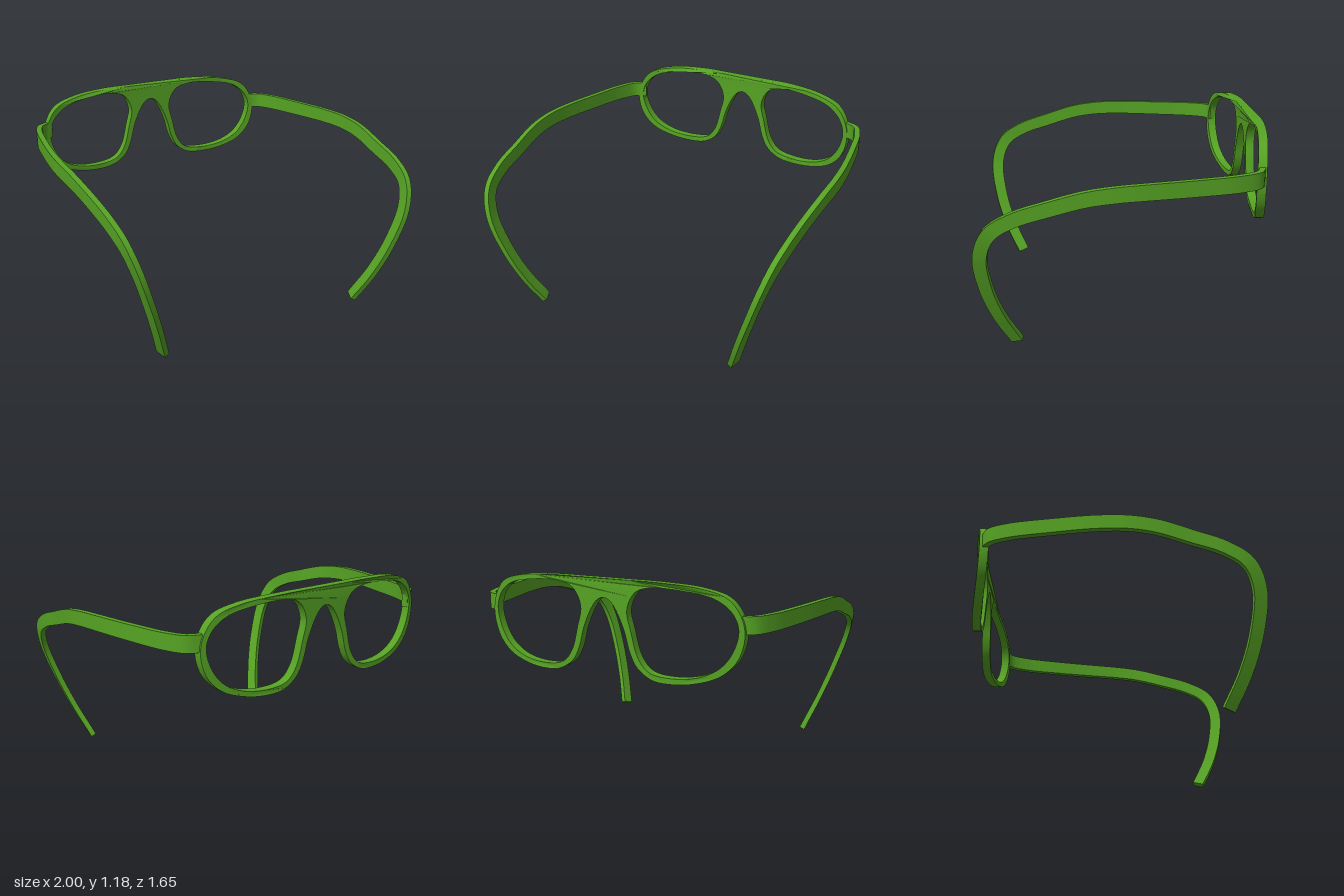
import * as THREE from 'three';
import { toCreasedNormals } from 'three/addons/utils/BufferGeometryUtils.js';

const material = new THREE.MeshStandardMaterial({ color: 0x56a324 });

// Half of the front outline, from top centre round the rim to the bridge arch
const outline = [
  [0, 1.178], [0.15, 1.178], [0.32, 1.177], [0.55, 1.158], [0.686, 1.115], [0.75, 1.04],
  [0.778, 0.933], [0.745, 0.8], [0.66, 0.71], [0.525, 0.66], [0.39, 0.645], [0.285, 0.658],
  [0.2, 0.714], [0.157, 0.794], [0.125, 0.906], [0.075, 1.015], [0.04, 1.06], [0, 1.077],
];
const lens = [
  [0.142, 1.02], [0.165, 0.905], [0.205, 0.77], [0.265, 0.7], [0.39, 0.677], [0.553, 0.698],
  [0.66, 0.757], [0.725, 0.853], [0.746, 0.96], [0.71, 1.045], [0.63, 1.105], [0.5, 1.136],
  [0.285, 1.147], [0.19, 1.115],
];
const mirror = (pts) => pts.map(([x, y]) => [-x, y]).reverse();

// Smooth closed loop through a few points
function loop(pts, count) {
  const curve = new THREE.CatmullRomCurve3(pts.map(([x, y]) => new THREE.Vector3(x, y, 0)), true);
  return curve.getSpacedPoints(count).slice(0, -1).map((p) => new THREE.Vector2(p.x, p.y));
}

// Front: flat cut-out, then wrapped backwards towards both ends
function makeFront() {
  const shape = new THREE.Shape(loop([...outline, ...mirror(outline).slice(1, -1)], 240));
  for (const pts of [lens, mirror(lens)]) shape.holes.push(new THREE.Path(loop(pts, 110)));
  const geo = new THREE.ExtrudeGeometry(shape, { depth: 0.052, bevelEnabled: false });
  const p = geo.attributes.position;
  for (let i = 0; i < p.count; i++) {
    const t = Math.max(0, Math.abs(p.getX(i)) - 0.28) / 0.5;
    p.setZ(i, p.getZ(i) - 0.822 + 0.075 * Math.pow(t, 1.5));
  }
  const mesh = new THREE.Mesh(toCreasedNormals(geo, 0.6), material);
  mesh.name = 'frontFrame';
  mesh.position.x = -0.01;
  return mesh;
}

// Centre line of a temple from hinge to ear tip
const templePath = [
  [0.745, 0.978, -0.728], [0.815, 0.978, -0.695], [0.87, 0.978, -0.585], [0.925, 0.978, -0.345],
  [0.968, 0.978, -0.1], [0.983, 0.972, 0.07], [0.98, 0.951, 0.23], [0.964, 0.898, 0.42],
  [0.952, 0.84, 0.6], [0.932, 0.76, 0.725], [0.89, 0.62, 0.781], [0.815, 0.4, 0.762],
  [0.742, 0.2, 0.702], [0.67, 0.016, 0.614],
];

// Temple: a flat bar swept along the path, side is 1 or -1
function makeTemple(side) {
  const curve = new THREE.CatmullRomCurve3(
    templePath.map(([x, y, z]) => new THREE.Vector3(side * x, y, z)));
  const steps = 90, rings = [];
  for (let i = 0; i <= steps; i++) {
    const u = i / steps;
    const c = curve.getPointAt(u), t = curve.getTangentAt(u);
    const n = new THREE.Vector3(side, 0, -0.6 + u).addScaledVector(t, -t.dot(new THREE.Vector3(side, 0, -0.6 + u))).normalize();
    const w = new THREE.Vector3().crossVectors(t, n);
    const thick = 0.0165, half = THREE.MathUtils.lerp(0.047, 0.034, u);
    rings.push([[1, 1], [-1, 1], [-1, -1], [1, -1]].map(([a, b]) =>
      c.clone().addScaledVector(n, a * thick).addScaledVector(w, b * half)));
  }
  const tris = [];
  const quad = (a, b, c, d) => tris.push(a, b, c, a, c, d);
  for (let i = 0; i < steps; i++) {
    for (let j = 0; j < 4; j++) {
      const k = (j + 1) % 4;
      quad(rings[i][j], rings[i][k], rings[i + 1][k], rings[i + 1][j]);
    }
  }
  const [a, b, c, d] = rings[0];
  quad(d, c, b, a);
  quad(...rings[steps]);
  const geo = new THREE.BufferGeometry().setFromPoints(tris);
  const mesh = new THREE.Mesh(toCreasedNormals(geo, 0.6), material);
  mesh.name = side > 0 ? 'leftTemple' : 'rightTemple';
  return mesh;
}

export function createModel() {
  const group = new THREE.Group();
  group.name = 'eyeglasses';
  group.add(makeFront(), makeTemple(1), makeTemple(-1));
  return group;
}
